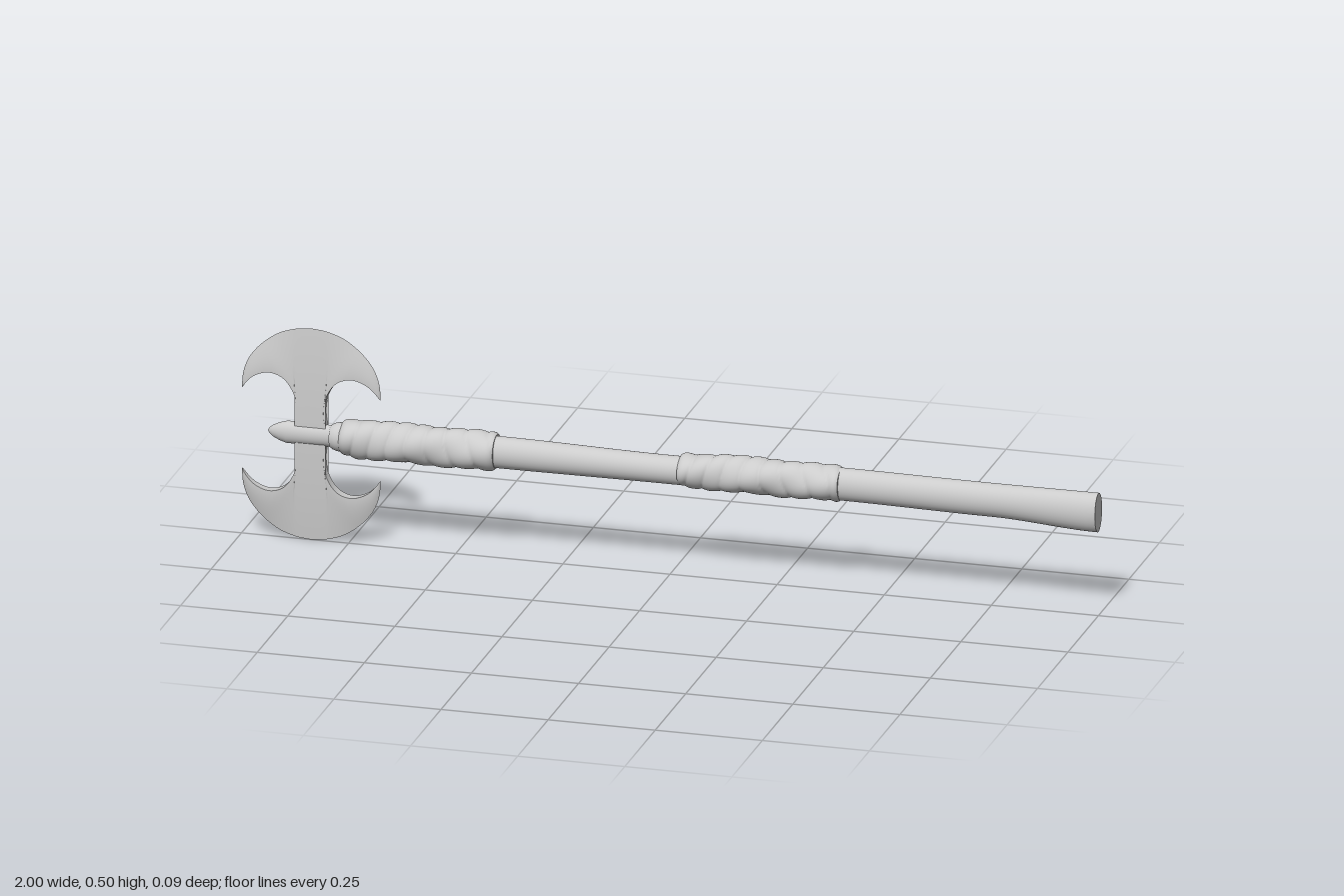
import * as THREE from 'three';

const MID = 0.257; // height of the haft axis
const material = new THREE.MeshStandardMaterial({ color: 0xcccccc });

function makeMesh(name, positions, indices) {
  const geometry = new THREE.BufferGeometry();
  geometry.setAttribute('position', new THREE.Float32BufferAttribute(positions, 3));
  geometry.setIndex(indices);
  geometry.computeVertexNormals();
  const mesh = new THREE.Mesh(geometry, material);
  mesh.name = name;
  return mesh;
}

// Oval loft along x. section(x, angle) gives { cy, ry, rz }; ends are capped.
function loft(name, xs, section, sides = 32) {
  const pos = [], idx = [];
  const ring = (x) => {
    const start = pos.length / 3;
    for (let j = 0; j < sides; j++) {
      const a = (j / sides) * Math.PI * 2;
      const { cy, ry, rz } = section(x, a);
      pos.push(x, cy + ry * Math.cos(a), rz * Math.sin(a));
    }
    return start;
  };
  const starts = xs.map(ring);
  for (let i = 0; i < xs.length - 1; i++) {
    for (let j = 0; j < sides; j++) {
      const k = (j + 1) % sides;
      const a = starts[i] + j, b = starts[i] + k;
      const c = starts[i + 1] + j, d = starts[i + 1] + k;
      idx.push(a, b, c, b, d, c);
    }
  }
  for (const [x, front] of [[xs[0], false], [xs[xs.length - 1], true]]) {
    const s = ring(x), centre = pos.length / 3;
    pos.push(x, section(x, 0).cy, 0);
    for (let j = 0; j < sides; j++) {
      const k = (j + 1) % sides;
      idx.push(centre, s + (front ? j : k), s + (front ? k : j));
    }
  }
  return makeMesh(name, pos, idx);
}

const range = (from, to, steps) =>
  Array.from({ length: steps + 1 }, (_, i) => from + ((to - from) * i) / steps);

// Smoothly interpolates rows of [x, centre y, y radius, z radius]
function profile(rows) {
  return (x) => {
    let i = 0;
    while (i < rows.length - 2 && x > rows[i + 1][0]) i++;
    const p = rows[i], q = rows[i + 1];
    const t = THREE.MathUtils.smoothstep(x, p[0], q[0]);
    const mix = (n) => p[n] + (q[n] - p[n]) * t;
    return { cy: mix(1), ry: mix(2), rz: mix(3) };
  };
}

// Wrapped binding: overlapping slanted turns with a little unevenness
function grip(name, x0, x1, rows, seed) {
  const base = profile(rows);
  return loft(name, range(x0, x1, 100), (x, a) => {
    const s = base(x);
    const turn = (x + 0.014 * Math.cos(a + seed + x * 14)) / 0.046;
    const wrap = 0.005 * Math.sqrt(Math.abs(Math.sin(Math.PI * turn)));
    const lump = 0.0015 * Math.sin(3 * a + x * 37 + seed);
    const edge = Math.min(1, Math.min(x - x0, x1 - x) / 0.012);
    const grow = wrap + lump - 0.005 * (1 - Math.sqrt(Math.max(0, edge)));
    return { cy: s.cy, ry: s.ry + grow, rz: s.rz + grow };
  }, 40);
}

// Crescent blade with its half of the neck, rising from the axis at y = 0
function blade(name) {
  const curve = (pts) => new THREE.CatmullRomCurve3(pts.map(([x, y]) => new THREE.Vector3(x, y, 0)));
  // Right half, from the neck centre out to the horn tip
  const inner = curve([[0, 0], [0.034, 0], [0.031, 0.055], [0.037, 0.093], [0.062, 0.13],
    [0.096, 0.141], [0.13, 0.13], [0.15, 0.112], [0.162, 0.095]]);
  const outer = curve([[0, 0.252], [0.03, 0.249], [0.05, 0.244], [0.072, 0.236], [0.098, 0.22],
    [0.125, 0.196], [0.147, 0.166], [0.159, 0.132], [0.162, 0.095]]);
  const half = 40, rows = 12, cols = half * 2 + 1;
  const pos = [], idx = [];
  const at = (side, i, j) => side * cols * (rows + 1) + i * (rows + 1) + j;
  for (const side of [1, -1]) {
    for (let i = 0; i < cols; i++) {
      const s = (i - half) / half, u = Math.abs(s);
      const p = inner.getPoint(u), q = outer.getPoint(u);
      const taper = Math.min(1, Math.sqrt((1 - u) / 0.45));
      for (let j = 0; j <= rows; j++) {
        const t = j / rows;
        const thick = 0.0118 * taper * (1 - t * t);
        pos.push(Math.sign(s) * (p.x + (q.x - p.x) * t), p.y + (q.y - p.y) * t, side * thick);
      }
    }
  }
  const quad = (a, b, c, d) => idx.push(a, b, c, a, c, d);
  for (let i = 0; i < cols - 1; i++) {
    for (let j = 0; j < rows; j++) {
      quad(at(0, i, j), at(0, i + 1, j), at(0, i + 1, j + 1), at(0, i, j + 1));
      quad(at(1, i, j), at(1, i, j + 1), at(1, i + 1, j + 1), at(1, i + 1, j));
    }
  }
  // Wall along the inner edge, with its own vertices for a crisp corner
  const wall = pos.length / 3;
  for (let i = 0; i < cols; i++) {
    for (const side of [0, 1]) {
      const k = at(side, i, 0) * 3;
      pos.push(pos[k], pos[k + 1], pos[k + 2]);
    }
  }
  for (let i = 0; i < cols - 1; i++) {
    const w = wall + i * 2;
    quad(w, w + 1, w + 3, w + 2);
  }
  return makeMesh(name, pos, idx);
}

export function createModel() {
  const group = new THREE.Group();

  // Gently curved oval haft, flared at the butt
  group.add(loft('haft', range(-0.77, 1, 80), profile([
    [-0.77, 0.257, 0.034, 0.03], [-0.4, 0.257, 0.037, 0.03], [0, 0.255, 0.033, 0.03],
    [0.4, 0.26, 0.038, 0.03], [0.75, 0.257, 0.039, 0.03], [1, 0.251, 0.046, 0.03],
  ])));

  // Two bindings
  group.add(grip('headBinding', -0.765, -0.405, [
    [-0.765, 0.257, 0.036, 0.033], [-0.72, 0.257, 0.041, 0.037], [-0.405, 0.257, 0.041, 0.037],
  ], 0.4));
  group.add(grip('middleBinding', 0.025, 0.4, [
    [0.025, 0.257, 0.034, 0.034], [0.14, 0.26, 0.038, 0.036], [0.4, 0.26, 0.037, 0.036],
  ], 2.1));

  // Collar between head and haft
  group.add(loft('collar', [-0.79, -0.785, -0.775, -0.755], profile([
    [-0.79, MID, 0.026, 0.024], [-0.78, MID, 0.033, 0.03], [-0.755, MID, 0.034, 0.031],
  ])));

  // Rounded point through the head
  group.add(loft('spike', [-0.938, -0.934, -0.925, -0.91, -0.893, -0.87, -0.84, -0.78], profile([
    [-0.938, MID, 0.001, 0.001], [-0.934, MID, 0.007, 0.005], [-0.925, MID, 0.014, 0.01],
    [-0.91, MID, 0.021, 0.015], [-0.893, MID, 0.026, 0.018], [-0.78, MID, 0.025, 0.019],
  ])));

  // Matching blades above and below
  const upper = blade('upperBlade');
  upper.position.set(-0.837, MID, 0);
  const lower = blade('lowerBlade');
  lower.position.copy(upper.position);
  lower.rotation.x = Math.PI;
  group.add(upper, lower);

  return group;
}
